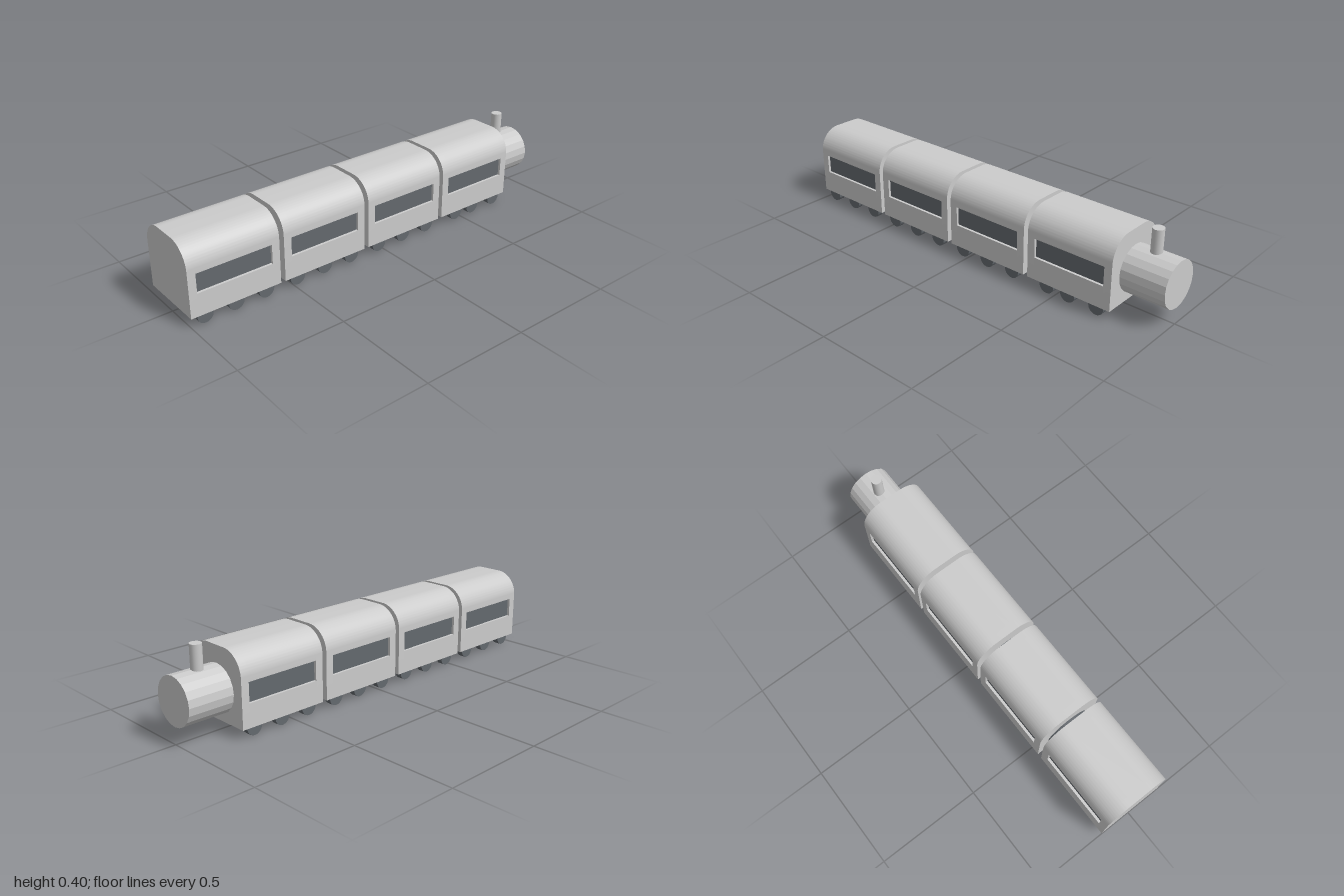
import * as THREE from 'three';
import { toCreasedNormals, mergeGeometries } from 'three/addons/utils/BufferGeometryUtils.js';

const grey = new THREE.MeshStandardMaterial({ color: 0xcccccc });
const greyFlat = new THREE.MeshStandardMaterial({ color: 0xcccccc, flatShading: true });
const dark = new THREE.MeshStandardMaterial({ color: 0x64696e });
const darkFlat = new THREE.MeshStandardMaterial({ color: 0x64696e, flatShading: true });

const HALF = 0.162, FLOOR = 0.045, TOP = 0.37, ROUND = 0.107;
const LENGTH = 0.43, PITCH = 0.4527, CARS = 4;
const WIN = { bottom: 0.152, top: 0.243, front: 0.037, back: 0.393, depth: 0.014 };
const AXIS_Y = 0.185, BOILER_R = 0.108;

function add(parent, name, geometry, material, x = 0, y = 0, z = 0) {
  const mesh = new THREE.Mesh(geometry, material);
  mesh.name = name;
  mesh.position.set(x, y, z);
  parent.add(mesh);
  return mesh;
}

// Arched carriage cross-section, optionally notched on both sides for windows
function section(notched) {
  const s = new THREE.Shape();
  const inner = HALF - WIN.depth;
  s.moveTo(-HALF, FLOOR);
  s.lineTo(HALF, FLOOR);
  if (notched) {
    s.lineTo(HALF, WIN.bottom);
    s.lineTo(inner, WIN.bottom);
    s.lineTo(inner, WIN.top);
    s.lineTo(HALF, WIN.top);
  }
  s.lineTo(HALF, TOP - ROUND);
  s.absarc(HALF - ROUND, TOP - ROUND, ROUND, 0, Math.PI / 2);
  s.absarc(-HALF + ROUND, TOP - ROUND, ROUND, Math.PI / 2, Math.PI);
  if (notched) {
    s.lineTo(-HALF, WIN.top);
    s.lineTo(-inner, WIN.top);
    s.lineTo(-inner, WIN.bottom);
    s.lineTo(-HALF, WIN.bottom);
  }
  s.closePath();
  return s;
}

// Body in three lengths; the middle one carries the window recesses
function bodyGeometry() {
  const piece = (from, to, notched) =>
    new THREE.ExtrudeGeometry(section(notched), { depth: to - from, bevelEnabled: false, curveSegments: 14 })
      .translate(0, 0, -to);
  const merged = mergeGeometries([
    piece(0, WIN.front, false),
    piece(WIN.front, WIN.back, true),
    piece(WIN.back, LENGTH, false),
  ]);
  return toCreasedNormals(merged, 0.5);
}

export function createModel() {
  const model = new THREE.Group();
  model.name = 'train';

  const body = bodyGeometry();
  const pane = new THREE.BoxGeometry(0.004, WIN.top - WIN.bottom, WIN.back - WIN.front);
  const wheel = new THREE.CylinderGeometry(0.0375, 0.0375, 0.032, 20).rotateZ(Math.PI / 2);
  const coupling = new THREE.CylinderGeometry(BOILER_R, BOILER_R, 0.04, 20).rotateX(Math.PI / 2);

  for (let i = 0; i < CARS; i++) {
    const car = new THREE.Group();
    car.name = 'carriage' + (i + 1);
    car.position.z = 1 - i * PITCH;
    model.add(car);
    add(car, 'body', body, grey);

    for (const side of [1, -1]) {
      const sideName = side > 0 ? 'left' : 'right';
      add(car, sideName + 'Window', pane, dark, side * (HALF - WIN.depth),
        (WIN.top + WIN.bottom) / 2, -(WIN.front + WIN.back) / 2);
      // Three wheels a side; one on the last carriage sits further back
      for (let w = 0; w < 3; w++) {
        const shift = i === 3 && w === 0 && side > 0 ? 0.035 : 0;
        add(car, sideName + 'Wheel', wheel, darkFlat, side * 0.136 + 0.005, 0.0375, -0.067 - w * 0.1465 - shift);
      }
    }
    // Round coupling in the gap to the next carriage
    if (i < CARS - 1) add(car, 'coupling', coupling, darkFlat, -0.003, AXIS_Y, -(LENGTH + PITCH) / 2);
  }

  // Boiler and chimney at the engine end
  const boiler = new THREE.CylinderGeometry(BOILER_R, BOILER_R, 0.23, 20).rotateX(Math.PI / 2);
  add(model, 'boiler', boiler, greyFlat, -0.003, AXIS_Y, -0.885);
  add(model, 'chimney', new THREE.CylinderGeometry(0.026, 0.026, 0.15, 20), grey, -0.006, 0.325, -0.884);

  return model;
}
